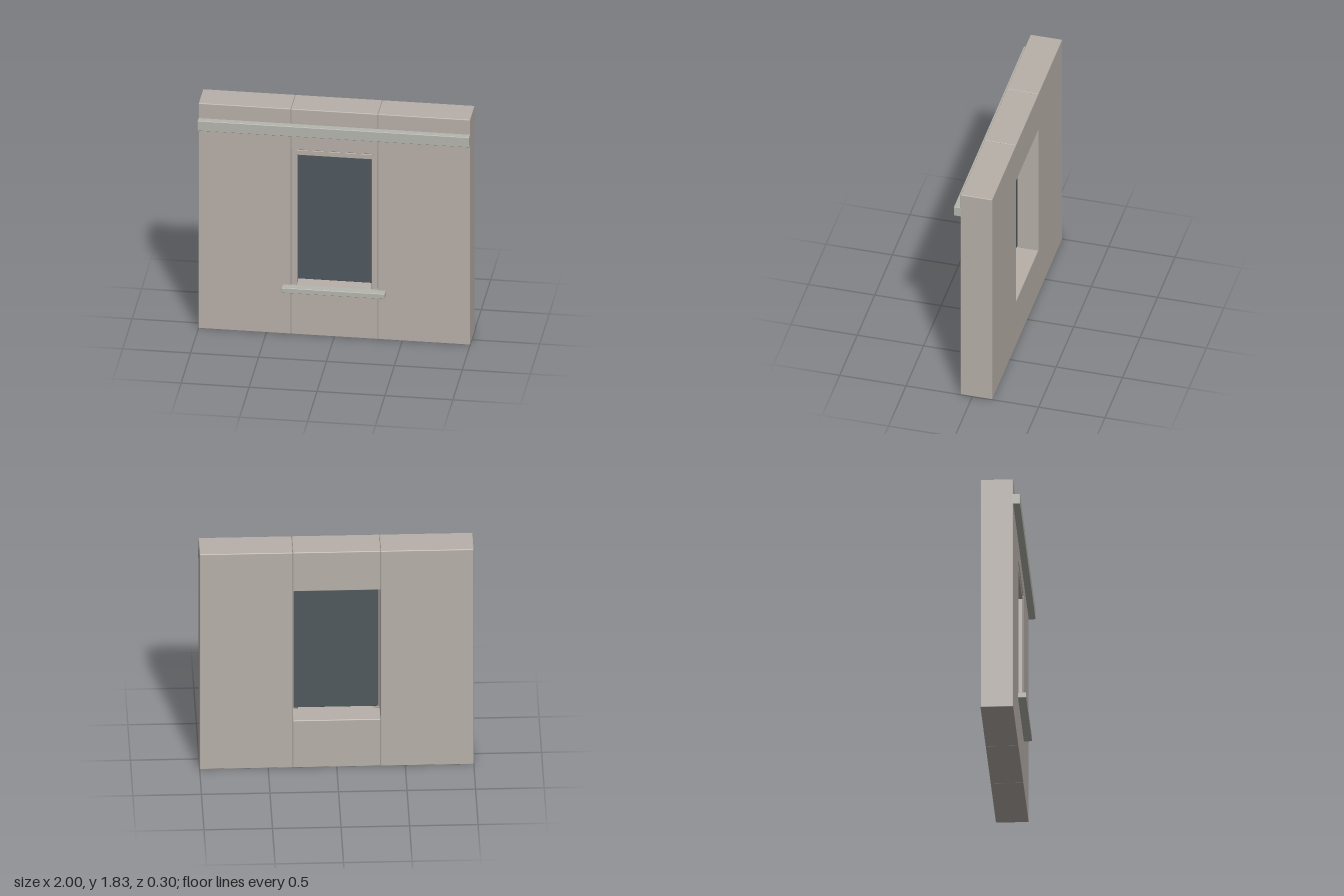
import * as THREE from 'three';
import { RoundedBoxGeometry } from 'three/addons/geometries/RoundedBoxGeometry.js';

const stone = new THREE.MeshStandardMaterial({ color: 0xb8b0a9 });
const trim = new THREE.MeshStandardMaterial({ color: 0xb5b6ae });
const glass = new THREE.MeshStandardMaterial({ color: 0x50595e });

// Chamfered block given by its min and max corners
function block(name, [x0, y0, z0], [x1, y1, z1], material, bevel = 0.006) {
  const geometry = new RoundedBoxGeometry(x1 - x0, y1 - y0, z1 - z0, 1, bevel);
  const mesh = new THREE.Mesh(geometry, material);
  mesh.name = name;
  mesh.position.set((x0 + x1) / 2, (y0 + y1) / 2, (z0 + z1) / 2);
  return mesh;
}

export function createModel() {
  const group = new THREE.Group();
  group.name = 'windowWall';
  const back = -0.15, front = 0.09, top = 1.83, half = 0.32;

  // Wall panels around the opening
  const wall = new THREE.Group();
  wall.name = 'wall';
  wall.add(
    block('rightPanel', [-1, 0, back], [-half, top, front], stone),
    block('leftPanel', [half, 0, back], [1, top, front], stone),
    block('lowerPanel', [-half, 0, back], [half, 0.4, front], stone),
    block('lintelPanel', [-half, 1.5, back], [half, top, front], stone)
  );

  // Three-sided window frame with the pane set at its back
  const frame = new THREE.Group();
  frame.name = 'windowFrame';
  for (const [name, x] of [['rightJamb', -0.296], ['leftJamb', 0.296]]) {
    frame.add(block(name, [x - 0.021, 0.4, 0.015], [x + 0.021, 1.497, 0.085], stone, 0.003));
  }
  frame.add(
    block('frameHead', [-0.276, 1.457, 0.015], [0.276, 1.497, 0.085], stone, 0.003),
    block('pane', [-0.31, 0.42, 0.005], [0.31, 1.485, 0.017], glass, 0.002)
  );

  // Projecting ledges
  group.add(
    wall,
    frame,
    block('sill', [-0.38, 0.36, 0.08], [0.38, 0.4, 0.15], trim, 0.004),
    block('corniceBand', [-1, 1.63, 0.08], [1, 1.71, 0.14], trim, 0.004)
  );
  return group;
}
